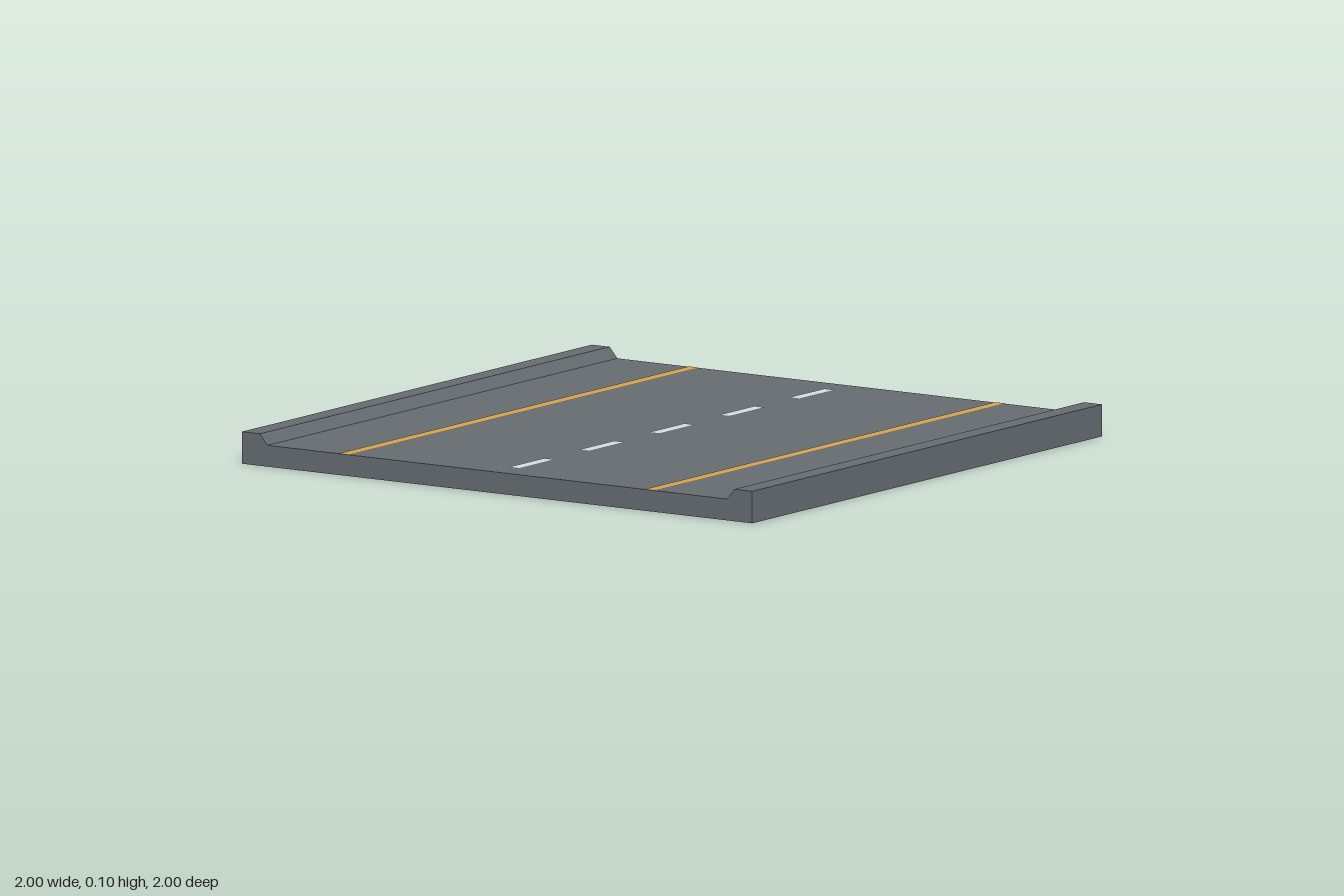
import * as THREE from 'three';

const ROAD_Y = 0.07, KERB_Y = 0.105;

export function createModel() {
  const root = new THREE.Group();
  root.name = 'roadTile';
  const material = (name, color) => {
    const m = new THREE.MeshStandardMaterial({ color });
    m.name = name;
    return m;
  };
  const asphalt = material('asphalt grey', 0x646b6f);
  const yellow = material('line yellow', 0xd2a24e);
  const white = material('dash white', 0xd6dadc);

  // Slab with bevelled kerbs, one cross-section along z
  const profile = new THREE.Shape([
    [-1, 0], [1, 0], [1, KERB_Y], [0.93, KERB_Y], [0.9, ROAD_Y],
    [-0.9, ROAD_Y], [-0.93, KERB_Y], [-1, KERB_Y],
  ].map(([x, y]) => new THREE.Vector2(x, y)));
  const slabGeometry = new THREE.ExtrudeGeometry(profile, { depth: 2, bevelEnabled: false });
  slabGeometry.translate(0, 0, -1);
  const slab = new THREE.Mesh(slabGeometry, asphalt);
  slab.name = 'roadSlab';
  root.add(slab);

  // Painted markings: flat faces just above the road
  const addMarking = (name, mat, x, z, length) => {
    const geometry = new THREE.PlaneGeometry(0.04, length).rotateX(-Math.PI / 2);
    const mesh = new THREE.Mesh(geometry, mat);
    mesh.name = name;
    mesh.position.set(x, ROAD_Y + 0.001, z);
    root.add(mesh);
  };
  addMarking('leftEdgeLine', yellow, 0.6, 0, 2);
  addMarking('rightEdgeLine', yellow, -0.6, 0, 2);
  for (let i = 0; i < 5; i++) addMarking(`centreDash${i + 1}`, white, 0, -0.8 + i * 0.4, 0.2);

  return root;
}
